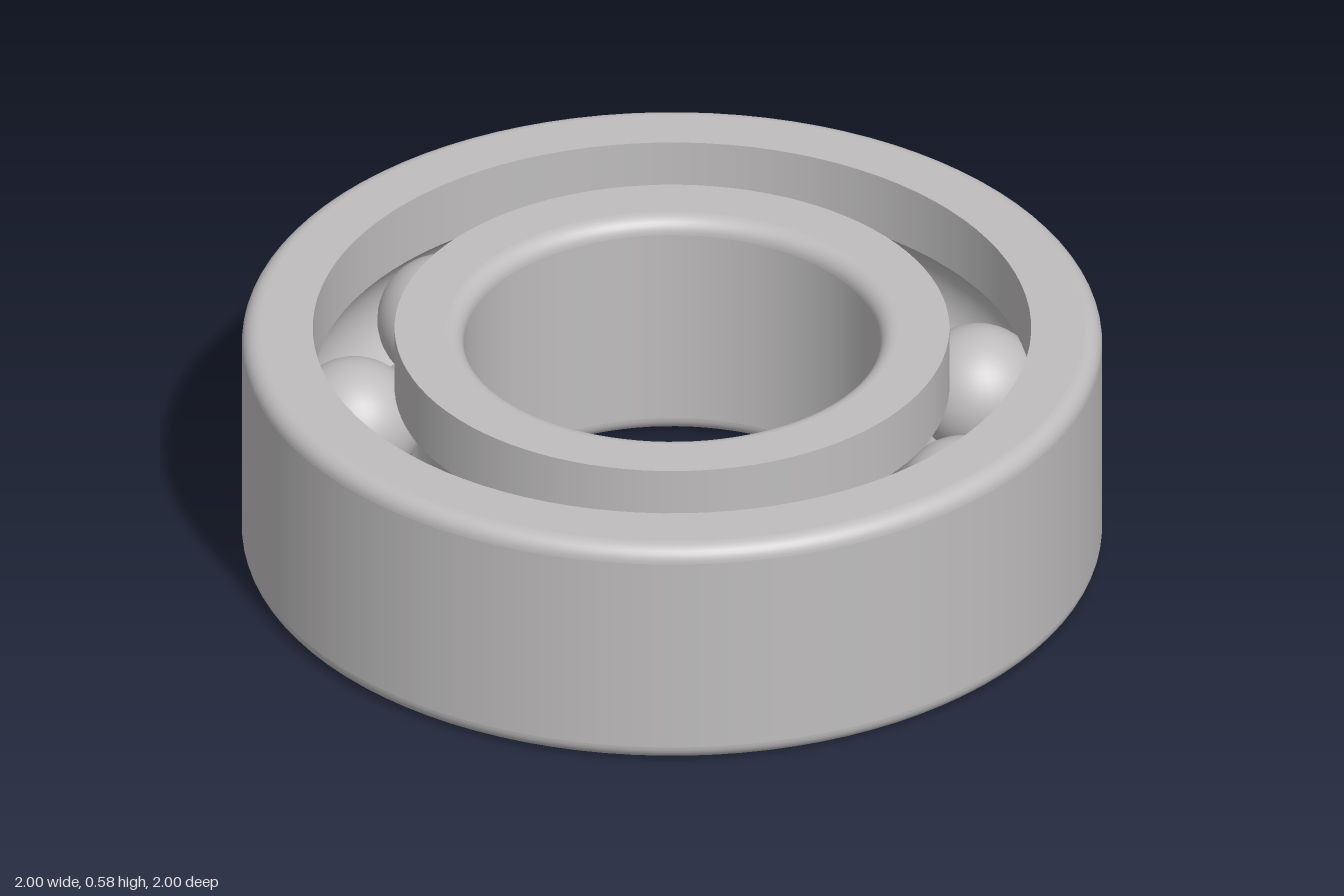
import * as THREE from 'three';
import { mergeGeometries } from 'three/addons/utils/BufferGeometryUtils.js';

const HEIGHT = 0.576, MID = HEIGHT / 2;
const ORBIT = 0.74, BALL_R = 0.154, GROOVE_R = 0.16, BALLS = 9;
const FILLET = 0.04;

const line = (x0, y0, x1, y1) => [new THREE.Vector2(x0, y0), new THREE.Vector2(x1, y1)];

// Points along an arc from angle a0 to a1
function arc(cx, cy, r, a0, a1, steps) {
  return Array.from({ length: steps + 1 }, (_, i) => {
    const a = a0 + (a1 - a0) * i / steps;
    return new THREE.Vector2(cx + r * Math.cos(a), cy + r * Math.sin(a));
  });
}

// Each profile piece is turned on its own, so edges between pieces stay sharp
function ring(name, pieces, material) {
  const geometry = mergeGeometries(pieces.map((p) => new THREE.LatheGeometry(p, 96)));
  const mesh = new THREE.Mesh(geometry, material);
  mesh.name = name;
  return mesh;
}

export function createModel() {
  const group = new THREE.Group();
  group.name = 'ballBearing';
  const steel = new THREE.MeshStandardMaterial({ color: 0xbfbdbd });
  steel.name = 'steel';
  const H = HEIGHT, F = FILLET, PI = Math.PI;

  // Outer ring: rounded outside corners, ball groove on the inside wall
  const outR = 1, outWall = 0.835;
  const outA = Math.acos((outWall - ORBIT) / GROOVE_R);
  const outDy = GROOVE_R * Math.sin(outA);
  group.add(ring('outerRing', [
    line(outR, F, outR, H - F),
    arc(outR - F, H - F, F, 0, PI / 2, 8),
    line(outR - F, H, outWall, H),
    line(outWall, H, outWall, MID + outDy),
    arc(ORBIT, MID, GROOVE_R, outA, -outA, 16),
    line(outWall, MID - outDy, outWall, 0),
    line(outWall, 0, outR - F, 0),
    arc(outR - F, F, F, -PI / 2, 0, 8),
  ], steel));

  // Inner ring: rounded bore corners, ball groove on the outside wall
  const bore = 0.484, inWall = 0.645;
  const inA = Math.acos((ORBIT - inWall) / GROOVE_R);
  const inDy = GROOVE_R * Math.sin(inA);
  group.add(ring('innerRing', [
    line(inWall, 0, inWall, MID - inDy),
    arc(ORBIT, MID, GROOVE_R, PI + inA, PI - inA, 16),
    line(inWall, MID + inDy, inWall, H),
    line(inWall, H, bore + F, H),
    arc(bore + F, H - F, F, PI / 2, PI, 8),
    line(bore, H - F, bore, F),
    arc(bore + F, F, F, PI, PI * 1.5, 8),
    line(bore + F, 0, inWall, 0),
  ], steel));

  // Balls spaced evenly between the rings
  const ballGeometry = new THREE.SphereGeometry(BALL_R, 40, 24);
  for (let i = 0; i < BALLS; i++) {
    const a = i / BALLS * PI * 2;
    const ball = new THREE.Mesh(ballGeometry, steel);
    ball.name = `ball${i + 1}`;
    ball.position.set(ORBIT * Math.cos(a), MID, ORBIT * Math.sin(a));
    group.add(ball);
  }
  return group;
}
